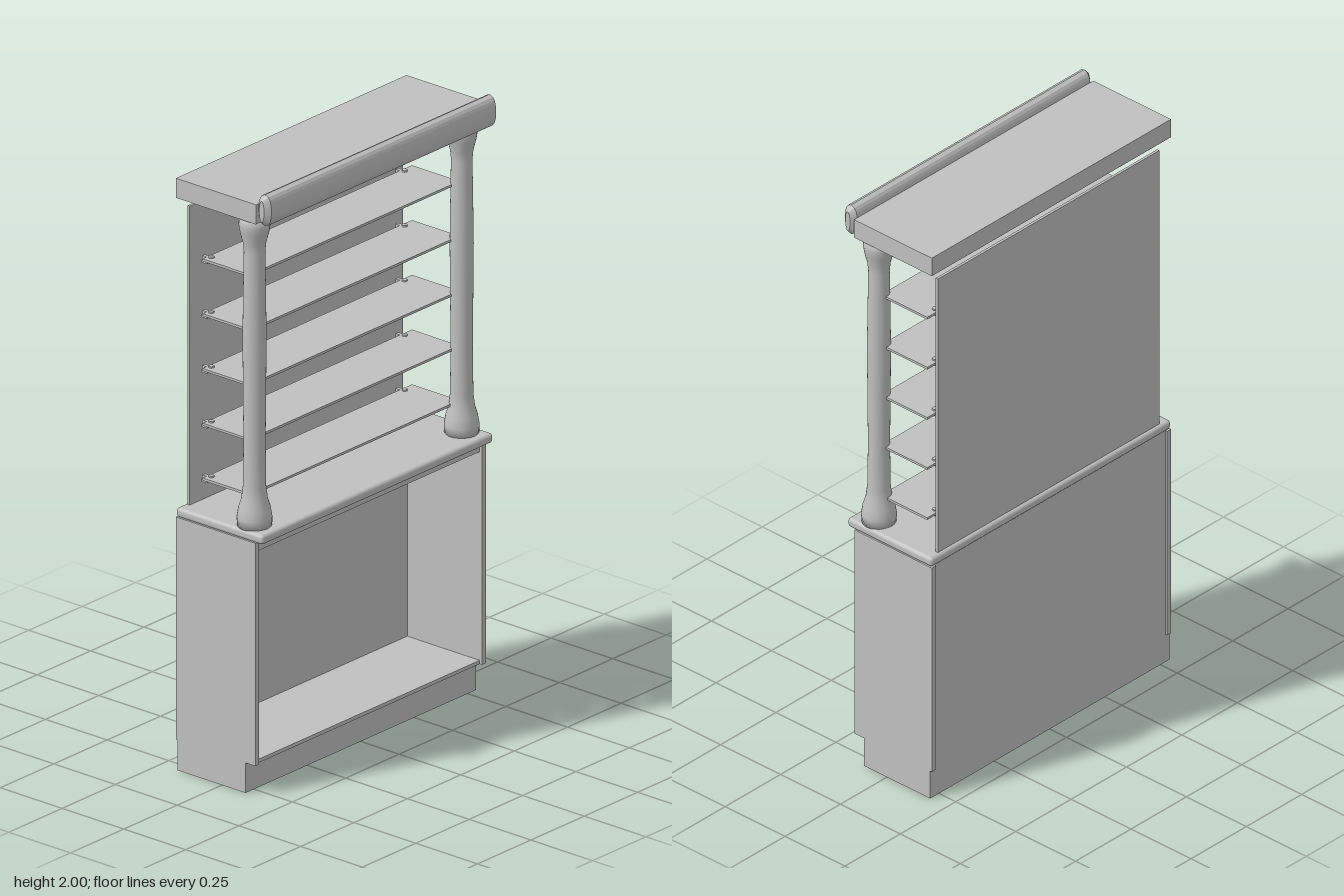
import * as THREE from 'three';
import { RoundedBoxGeometry } from 'three/addons/geometries/RoundedBoxGeometry.js';

export function createModel() {
  const model = new THREE.Group();
  const grey = new THREE.MeshStandardMaterial({ color: 0xc0c0c0 });
  grey.name = 'plainGrey';

  const add = (name, geometry) => {
    const mesh = new THREE.Mesh(geometry, grey);
    mesh.name = name;
    model.add(mesh);
    return mesh;
  };
  // Box given by its limits on each axis
  const box = (name, x0, x1, y0, y1, z0, z1) => {
    const mesh = add(name, new THREE.BoxGeometry(x1 - x0, y1 - y0, z1 - z0));
    mesh.position.set((x0 + x1) / 2, (y0 + y1) / 2, (z0 + z1) / 2);
    return mesh;
  };

  // Open-fronted cabinet on a recessed plinth
  box('plinth', -0.54, 0.54, 0, 0.1, -0.18, 0.095);
  box('cabinetFloor', -0.522, 0.522, 0.1, 0.112, -0.178, 0.125);
  box('cabinetBack', -0.522, 0.522, 0.1, 0.84, -0.18, -0.168);
  box('cabinetTopRail', -0.522, 0.522, 0.805, 0.84, 0.105, 0.125);
  box('cabinetBackRail', -0.522, 0.522, 0.795, 0.84, -0.168, -0.15);
  box('cabinetSideLeft', 0.522, 0.54, 0.1, 0.84, -0.187, 0.135);
  box('cabinetSideRight', -0.54, -0.522, 0.1, 0.84, -0.187, 0.135);

  // Counter with rounded edges
  const counter = add('counter', new RoundedBoxGeometry(1.084, 0.032, 0.352, 3, 0.012));
  counter.position.set(0, 0.856, -0.011);

  // Turned columns with flared foot and head
  const profile = [
    [0, 0.87], [0.054, 0.87], [0.055, 0.9], [0.05, 0.93], [0.041, 0.96], [0.036, 1.0],
    [0.034, 1.15], [0.036, 1.38], [0.037, 1.5], [0.035, 1.65], [0.033, 1.78],
    [0.036, 1.81], [0.045, 1.845], [0.049, 1.87], [0.047, 1.9], [0, 1.9],
  ].map(([r, y]) => new THREE.Vector2(r, y));
  const columnGeometry = new THREE.LatheGeometry(profile, 28);
  for (const side of [-1, 1]) {
    const column = add(side > 0 ? 'columnLeft' : 'columnRight', columnGeometry);
    column.position.set(side * 0.485, 0, 0.084);
  }

  // Thin panel behind the shelves
  box('backPanel', -0.5, 0.5, 0.87, 1.865, -0.175, -0.166);

  // Shelves, each with a rear rail and two small pegs
  const pegGeometry = new THREE.CylinderGeometry(0.009, 0.009, 0.018, 12);
  [0.967, 1.149, 1.331, 1.513, 1.695].forEach((y) => {
    box('shelf', -0.49, 0.49, y - 0.004, y + 0.004, -0.122, 0.07);
    box('shelfRail', -0.47, 0.44, y - 0.02, y - 0.01, -0.143, -0.122);
    for (const x of [-0.465, 0.44]) {
      add('shelfPeg', pegGeometry).position.set(x, y, -0.108);
      box('pegBracket', x - 0.006, x + 0.006, y - 0.015, y + 0.004, -0.14, -0.108);
    }
  });

  // Canopy board
  box('canopy', -0.54, 0.54, 1.9, 1.965, -0.187, 0.137);

  // Front moulding: oval section with chamfered ends
  const section = new THREE.Shape();
  const inset = 0.016;
  section.absellipse(0, 0, 0.026 - inset, 0.051 - inset, 0, Math.PI * 2);
  const mouldingGeometry = new THREE.ExtrudeGeometry(section, {
    depth: 1.084 - 2 * inset, bevelEnabled: true, bevelThickness: inset,
    bevelSize: inset, bevelSegments: 1, curveSegments: 12,
  });
  mouldingGeometry.translate(0, 0, -(1.084 - 2 * inset) / 2);
  mouldingGeometry.rotateY(Math.PI / 2);
  add('canopyMoulding', mouldingGeometry).position.set(0, 1.949, 0.162);

  return model;
}
